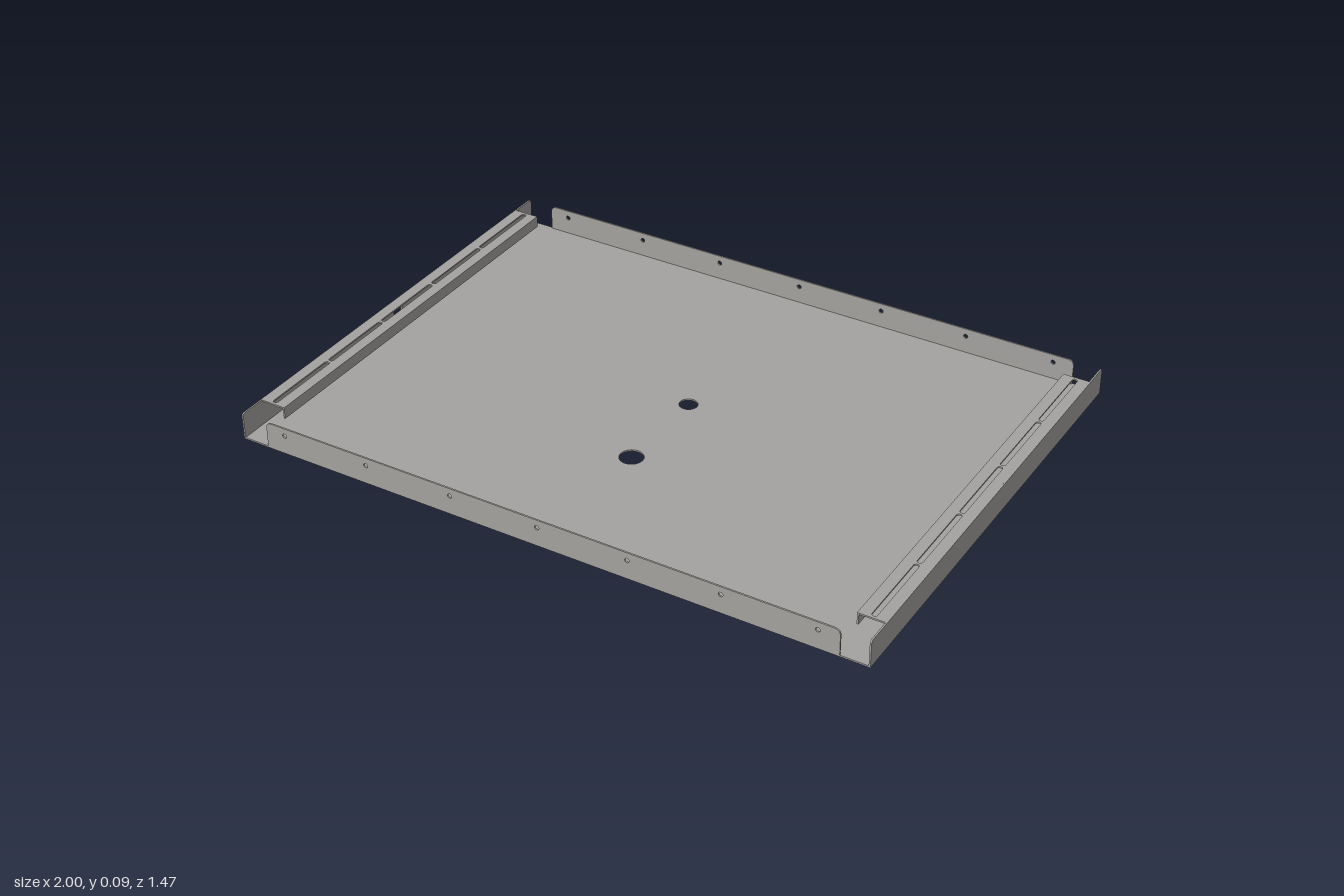
import * as THREE from 'three';

const T = 0.005; // sheet thickness
const W = 1, D = 0.735, H = 0.085; // half width, half depth, height

// Upright panel outline with rounded top corners, centred on x
function panelShape(halfWidth, bottom, top, r) {
  const s = new THREE.Shape();
  s.moveTo(-halfWidth, bottom);
  s.lineTo(halfWidth, bottom);
  s.lineTo(halfWidth, top - r);
  s.quadraticCurveTo(halfWidth, top, halfWidth - r, top);
  s.lineTo(-halfWidth + r, top);
  s.quadraticCurveTo(-halfWidth, top, -halfWidth, top - r);
  s.closePath();
  return s;
}

function rectShape(x0, y0, x1, y1) {
  return new THREE.Shape([[x0, y0], [x1, y0], [x1, y1], [x0, y1]].map(([x, y]) => new THREE.Vector2(x, y)));
}

function roundHole(x, y, r) {
  return new THREE.Path().absarc(x, y, r, 0, Math.PI * 2, true);
}

// Slot with rounded ends running along y
function slotHole(x, y0, y1, r) {
  const p = new THREE.Path();
  p.absarc(x, y1 - r, r, Math.PI, 0, true);
  p.absarc(x, y0 + r, r, 0, -Math.PI, true);
  p.closePath();
  return p;
}

function sheet(shape, holes = []) {
  shape.holes.push(...holes);
  return new THREE.ExtrudeGeometry(shape, { depth: T, bevelEnabled: false, curveSegments: 16 });
}

export function createModel() {
  const model = new THREE.Group();
  model.name = 'sheetMetalTray';
  const steel = new THREE.MeshStandardMaterial({ color: 0xa5a3a0 });
  steel.name = 'grey steel';
  const add = (name, geometry) => {
    const mesh = new THREE.Mesh(geometry, steel);
    mesh.name = name;
    model.add(mesh);
  };

  // Floor with two round openings
  const floor = sheet(rectShape(-W, -D, W, D), [roundHole(0, 0.06, 0.028), roundHole(0, -0.255, 0.036)]);
  add('floor', floor.rotateX(-Math.PI / 2));

  // Front and back flanges with a row of small holes
  for (const [name, z] of [['frontFlange', D - T], ['backFlange', -D]]) {
    const holes = [];
    for (let i = -3; i <= 3; i++) holes.push(roundHole(i * 0.283, 0.06, 0.007));
    add(name, sheet(panelShape(0.913, T, H, 0.02), holes).translate(0, 0, z));
  }

  for (const side of [1, -1]) {
    const label = side > 0 ? 'left' : 'right';

    // Side wall, with a cable hole on one side only
    const holes = side < 0 ? [roundHole(0, 0.045, 0.021)] : [];
    const wall = sheet(panelShape(D, T, H, 0.01), holes).rotateY(Math.PI / 2);
    add(label + 'Wall', wall.translate(side > 0 ? W - T : -W, 0, 0));

    // Inward return on top, cut by five slots separated by narrow ties
    const slots = [];
    for (let i = 0; i < 5; i++) {
      const y = -0.645 + i * 0.258;
      slots.push(slotHole(side * 0.957, y + 0.004, y + 0.254, 0.008));
    }
    const [x0, x1] = side > 0 ? [0.915, W - T] : [-W + T, -0.915];
    const top = sheet(rectShape(x0, -0.65, x1, 0.65), slots).rotateX(-Math.PI / 2);
    add(label + 'TopReturn', top.translate(0, H - T, 0));

    // Short lip folded down from the return
    const lip = new THREE.BoxGeometry(T, 0.032, 1.3);
    add(label + 'Lip', lip.translate(side * (0.915 + T / 2), H - T - 0.016, 0));
  }
  return model;
}
